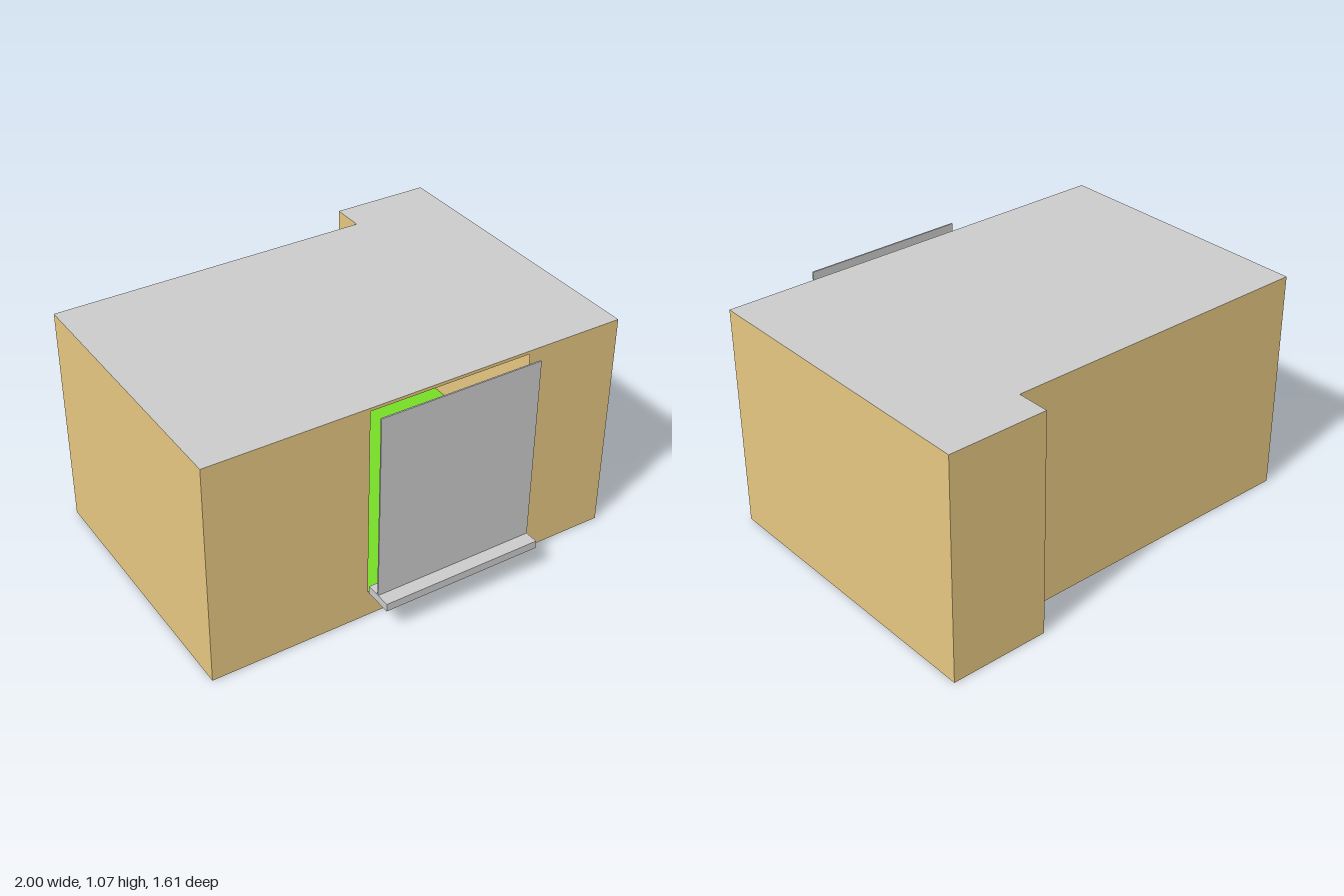
import * as THREE from 'three';

const H = 1.065;
// Floor plan corners as [x, z], starting at the front left and running round the back
const PLAN = [[1, 0.66], [1, -0.805], [0.53, -0.805], [0.53, -0.65], [-1, -0.65], [-1, 0.66]];
const OPENING = { x0: -0.25, x1: 0.53, y0: 0.13, y1: 1.05 };

const material = (color) =>
  new THREE.MeshStandardMaterial({ color, side: THREE.DoubleSide, flatShading: true });

function addMesh(parent, name, geometry, mat) {
  const mesh = new THREE.Mesh(geometry, mat);
  mesh.name = name;
  parent.add(mesh);
  return mesh;
}

// Horizontal sheet in the outline of the plan
function slab(y, faceDown) {
  const shape = new THREE.Shape(PLAN.map(([x, z]) => new THREE.Vector2(x, faceDown ? z : -z)));
  return new THREE.ShapeGeometry(shape)
    .rotateX(faceDown ? Math.PI / 2 : -Math.PI / 2)
    .translate(0, y, 0);
}

export function createModel() {
  const model = new THREE.Group();
  model.name = 'room';
  const tan = material(0xe6c781);
  const grey = material(0xcccccc);
  const green = material(0x77dc27);

  // Side and back walls, one sheet per plan edge
  const walls = new THREE.Group();
  walls.name = 'walls';
  model.add(walls);
  for (let i = 0; i < PLAN.length - 1; i++) {
    const [ax, az] = PLAN[i];
    const [bx, bz] = PLAN[i + 1];
    const dx = bx - ax;
    const dz = bz - az;
    const wall = addMesh(walls, `wall${i + 1}`, new THREE.PlaneGeometry(Math.hypot(dx, dz), H), tan);
    wall.position.set((ax + bx) / 2, H / 2, (az + bz) / 2);
    wall.rotation.y = Math.atan2(-dz, dx);
  }

  // Front wall with the window opening
  const { x0, x1, y0, y1 } = OPENING;
  const front = new THREE.Shape([[-1, 0], [1, 0], [1, H], [-1, H]].map((p) => new THREE.Vector2(...p)));
  front.holes.push(new THREE.Path([[x0, y0], [x0, y1], [x1, y1], [x1, y0]].map((p) => new THREE.Vector2(...p))));
  addMesh(walls, 'frontWall', new THREE.ShapeGeometry(front).translate(0, 0, 0.66), tan);

  // Roof and floor
  addMesh(model, 'roof', slab(H, false), grey);
  addMesh(model, 'floor', slab(0, true), green);

  // Sill and upright pane standing in front of the opening
  const midX = (x0 + x1) / 2;
  addMesh(model, 'sill', new THREE.BoxGeometry(x1 - x0, 0.038, 0.135), grey).position.set(midX, 0.146, 0.737);
  addMesh(model, 'pane', new THREE.BoxGeometry(x1 - x0, 0.895, 0.007), grey).position.set(midX, 0.6125, 0.735);

  return model;
}
